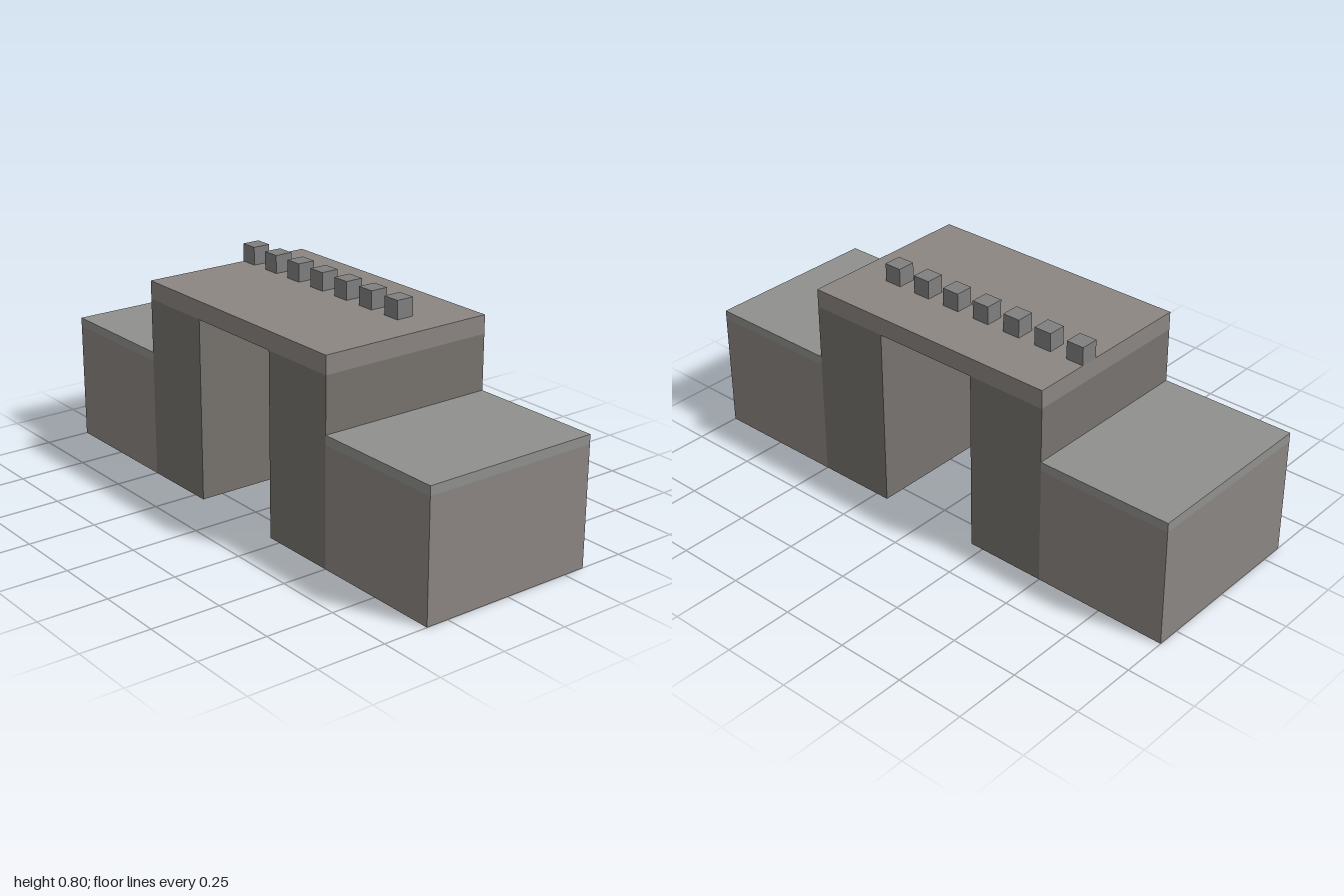
import * as THREE from 'three';

export function createModel() {
  const model = new THREE.Group();
  model.name = 'gatehouse';

  const U = 1 / 15; // building unit
  const depth = 10 * U;
  const stone = (color) => new THREE.MeshStandardMaterial({ color, flatShading: true });
  const wallStone = stone(0x8b8682);
  const towerStone = stone(0x77736f);
  const capStone = stone(0x90908e);
  const merlonStone = stone(0x808080);

  // Box given by its x, y and z ranges
  function block(name, material, [x0, x1], [y0, y1], [z0, z1] = [-depth / 2, depth / 2]) {
    const mesh = new THREE.Mesh(new THREE.BoxGeometry(x1 - x0, y1 - y0, z1 - z0), material);
    mesh.position.set((x0 + x1) / 2, (y0 + y1) / 2, (z0 + z1) / 2);
    mesh.name = name;
    model.add(mesh);
  }

  // Towers and lower side walls, mirrored about the passage
  for (const [side, s] of [['left', 1], ['right', -1]]) {
    const span = (a, b) => [a * s, b * s].sort((p, q) => p - q);
    block(side + 'Tower', towerStone, span(0.2, 0.5), [0, 10 * U]);
    block(side + 'Wall', wallStone, span(0.5, 1), [0, 6.5 * U]);
    block(side + 'WallWalk', capStone, span(0.5, 1), [6.5 * U, 7 * U]);
  }

  // Roof slab bridging the towers
  block('roof', wallStone, [-0.5, 0.5], [10 * U, 11 * U]);

  // Row of merlons, starting flush with the right edge of the roof
  for (let i = 0; i < 7; i++) {
    const x = -0.5 + i * 2 * U;
    block('merlon' + (i + 1), merlonStone, [x, x + U], [11 * U, 12 * U], [-2 * U, -U]);
  }

  return model;
}
